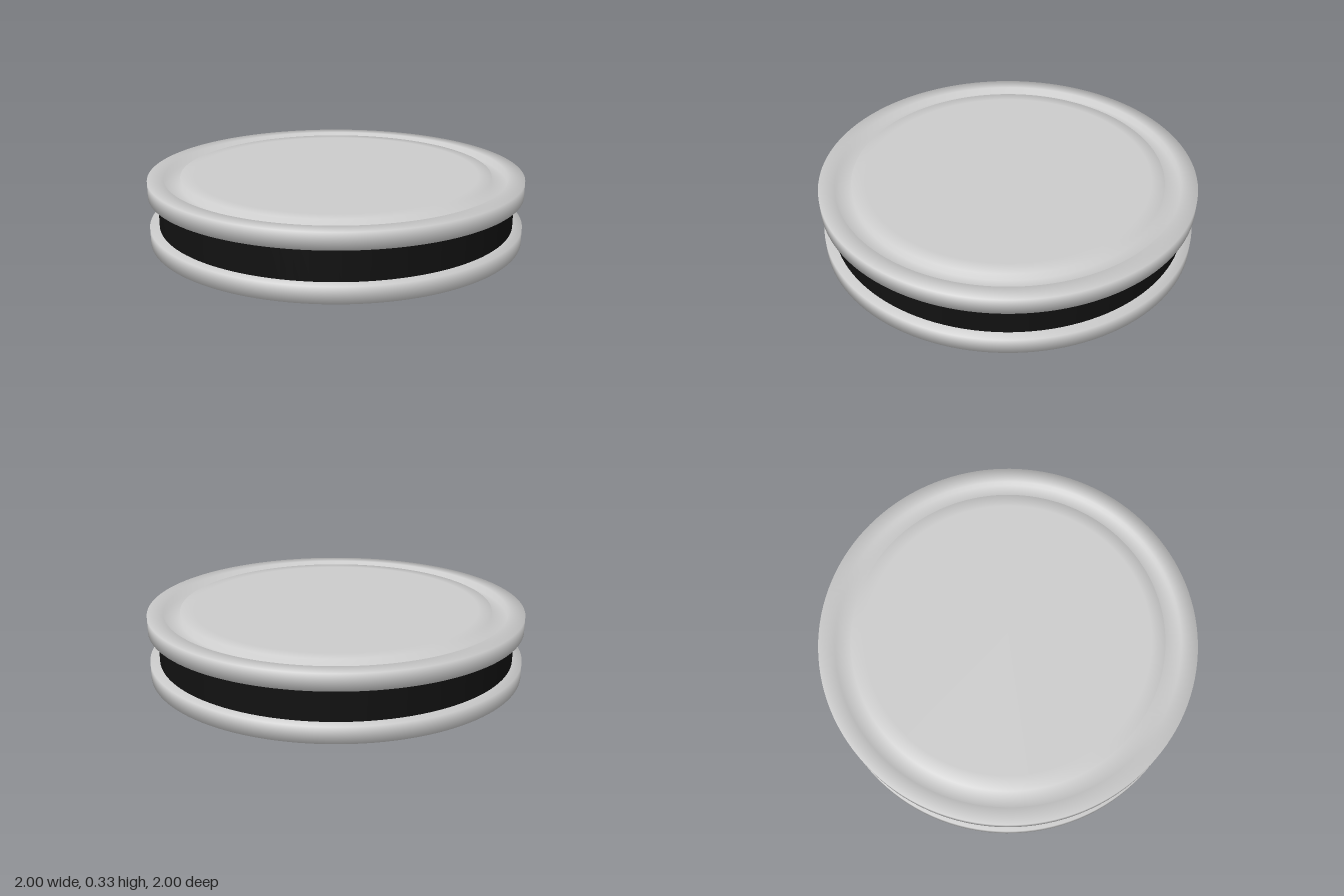
import * as THREE from 'three';

const SEGMENTS = 128;

// Revolves a profile of [radius, height] pairs, listed from bottom to top
function turned(name, profile, color) {
  const points = profile.map(([r, y]) => new THREE.Vector2(r, y));
  const mesh = new THREE.Mesh(
    new THREE.LatheGeometry(points, SEGMENTS),
    new THREE.MeshStandardMaterial({ color })
  );
  mesh.name = name;
  return mesh;
}

export function createModel() {
  const model = new THREE.Group();
  model.name = 'roundDisc';

  const plate = 0.083;  // thickness of each plate
  const top = 0.333;    // overall height
  const groove = 0.04;  // depth of the ring groove

  // Lower plate: flat underside, softly shaded rim
  model.add(turned('bottomPlate', [
    [0, 0], [0.92, 0], [1, 0],
    [1, plate], [0.92, plate], [0, plate],
  ], 0xcccccc));

  // Dark recessed band between the plates
  model.add(turned('middleBand', [[0.95, plate], [0.95, top - plate]], 0x111111));

  // Upper plate: raised rim, ring groove and central disc
  model.add(turned('topPlate', [
    [0, top - plate], [0.92, top - plate], [1, top - plate],
    [1, top], [0.915, top],
    [0.915, top - groove], [0.83, top - groove],
    [0.83, top], [0.76, top], [0, top],
  ], 0xcccccc));

  return model;
}
